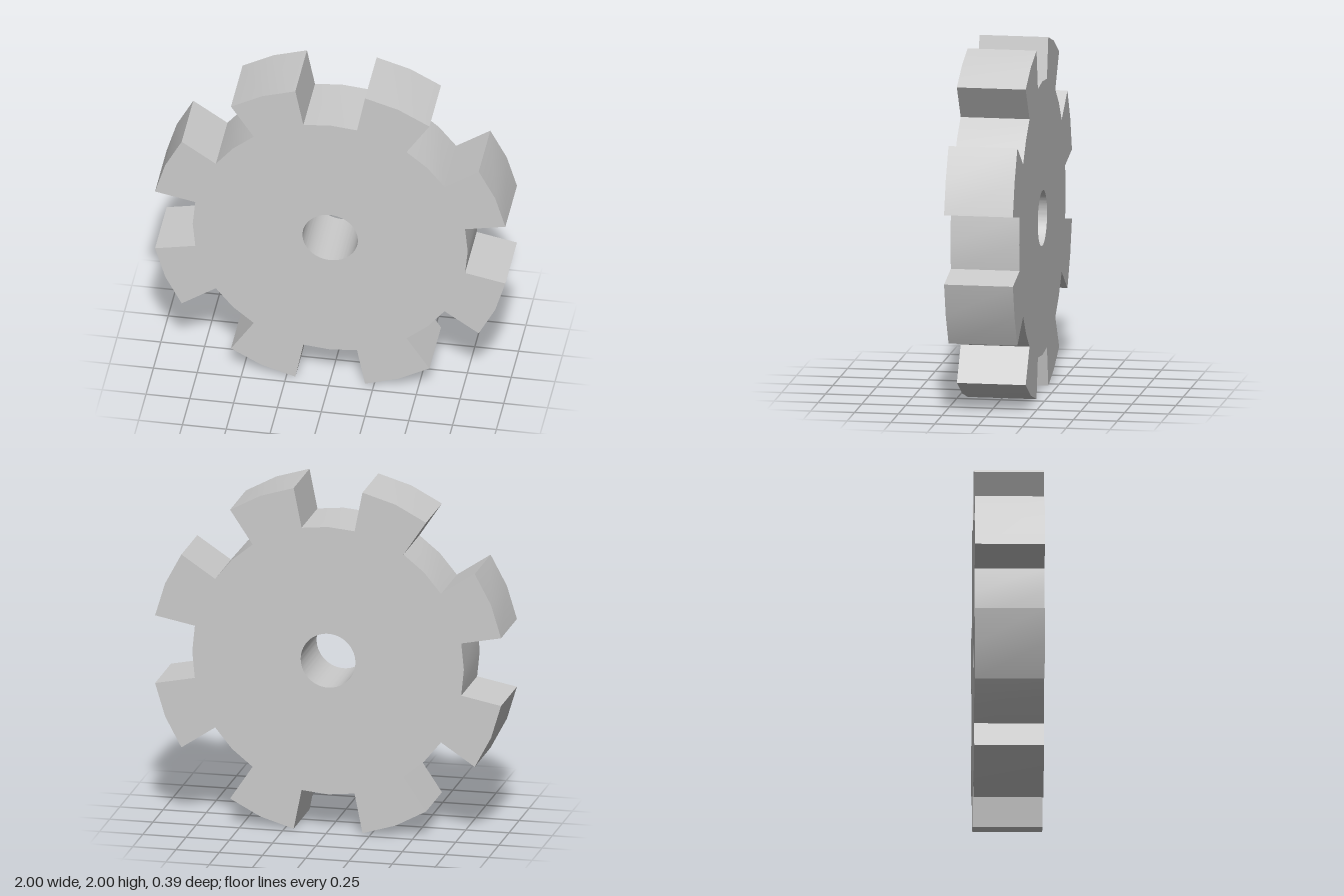
import * as THREE from 'three';
import { toCreasedNormals } from 'three/addons/utils/BufferGeometryUtils.js';

const TEETH = 8;
const TIP_R = 1.0196;
const ROOT_R = 0.785;
const BORE_R = 0.158;
const DEPTH = 0.393;

// Outline: each tooth and each gap is an arc of two straight segments
function gearOutline() {
  const points = [];
  const step = (Math.PI * 2) / (TEETH * 4);
  for (let i = 0; i < TEETH; i++) {
    for (const [radius, start] of [[ROOT_R, -1], [TIP_R, 1]]) {
      for (let k = 0; k < 3; k++) {
        const a = (i * 4 + start + k) * step;
        points.push(new THREE.Vector2(radius * Math.cos(a), radius * Math.sin(a)));
      }
    }
  }
  return new THREE.Shape(points);
}

export function createModel() {
  const group = new THREE.Group();
  group.name = 'gear';

  // Toothed wheel with a round centre bore
  const shape = gearOutline();
  const bore = new THREE.Path();
  bore.absarc(0, 0, BORE_R, 0, Math.PI * 2, true);
  shape.holes.push(bore);

  const extruded = new THREE.ExtrudeGeometry(shape, {
    depth: DEPTH, bevelEnabled: false, curveSegments: 64,
  });
  extruded.translate(0, 0, -DEPTH / 2);

  // Smooth along the arcs, sharp at tooth flanks and faces
  const geometry = toCreasedNormals(extruded, Math.PI / 6);
  const wheel = new THREE.Mesh(geometry, new THREE.MeshStandardMaterial({ color: 0xcccccc }));
  wheel.name = 'toothedWheel';
  wheel.position.y = 1;
  group.add(wheel);

  return group;
}
